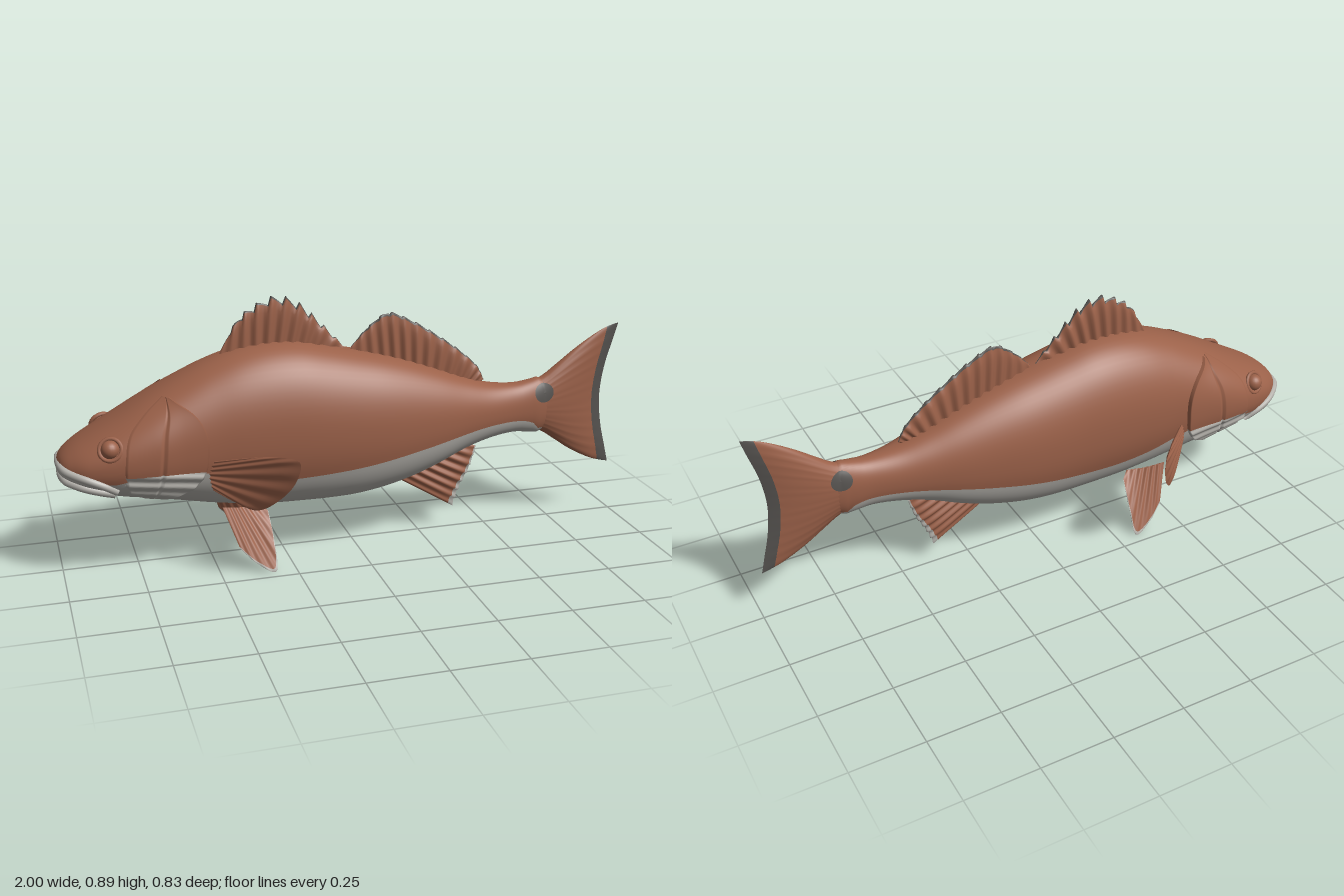
import * as THREE from 'three';

const mat = (name, color) => {
  const m = new THREE.MeshStandardMaterial({ color, side: THREE.DoubleSide });
  m.name = name;
  return m;
};
const V = (x, y, z = 0) => new THREE.Vector3(x, y, z);
const { lerp, clamp } = THREE.MathUtils;

// Smooth lookup of column c in a table sorted by its first column
function look(table, x, c = 1) {
  const n = table.length;
  x = clamp(x, table[0][0], table[n - 1][0]);
  let i = 0;
  while (i < n - 2 && x > table[i + 1][0]) i++;
  const slope = k => {
    const a = table[Math.max(k - 1, 0)], b = table[Math.min(k + 1, n - 1)];
    return (b[c] - a[c]) / (b[0] - a[0]);
  };
  const p = table[i], q = table[i + 1], d = q[0] - p[0], t = (x - p[0]) / d;
  const t2 = t * t, t3 = t2 * t;
  return (2 * t3 - 3 * t2 + 1) * p[c] + (t3 - 2 * t2 + t) * d * slope(i)
    + (3 * t2 - 2 * t3) * q[c] + (t3 - t2) * d * slope(i + 1);
}

// Grid surface from a rule fn(u, v)
function sheet(fn, nu, nv) {
  const pos = [], idx = [];
  for (let i = 0; i <= nu; i++) for (let j = 0; j <= nv; j++) pos.push(...fn(i / nu, j / nv).toArray());
  for (let i = 0; i < nu; i++) for (let j = 0; j < nv; j++) {
    const a = i * (nv + 1) + j, b = a + nv + 1;
    idx.push(a, b, b + 1, a, b + 1, a + 1);
  }
  const g = new THREE.BufferGeometry();
  g.setAttribute('position', new THREE.Float32BufferAttribute(pos, 3));
  g.setIndex(idx);
  g.computeVertexNormals();
  return g;
}

// Body stations: x, top, bottom, half width
const BODY = [
  [-1, .39, .37, .012], [-.985, .417, .338, .075], [-.95, .447, .312, .118], [-.9, .478, .29, .15],
  [-.8, .535, .266, .178], [-.7, .593, .247, .187], [-.6, .645, .226, .184], [-.5, .69, .205, .183],
  [-.4, .722, .19, .186], [-.3, .737, .18, .187], [-.2, .735, .177, .186], [-.1, .715, .176, .182],
  [0, .692, .18, .176], [.1, .668, .195, .166], [.2, .638, .22, .15], [.3, .602, .256, .13],
  [.4, .563, .3, .105], [.5, .532, .33, .08], [.6, .522, .343, .058], [.66, .53, .336, .05],
  [.7, .535, .335, .044], [.75, .5, .38, .028], [.8, .45, .42, .002]];
// Height of the colour change along the flank
const LINE = [
  [-1, .38], [-.95, .375], [-.9, .362], [-.83, .347], [-.75, .367], [-.6, .375], [-.5, .352], [-.4, .322],
  [-.3, .308], [-.2, .307], [0, .322], [.2, .352], [.4, .385], [.5, .396], [.6, .396], [.66, .382], [.7, .35], [.8, .43]];
const E = 0.9;
const section = x => {
  const top = look(BODY, x, 1), bot = look(BODY, x, 2);
  return { mid: (top + bot) / 2, h: (top - bot) / 2, w: look(BODY, x, 3) };
};
const angleAt = (x, y) => {
  const { mid, h } = section(x), q = clamp((y - mid) / h, -1, 1);
  return Math.asin(Math.sign(q) * Math.abs(q) ** (1 / E));
};
const sideZ = (x, y) => section(x).w * Math.max(Math.cos(angleAt(x, y)), 0) ** E;
const bodyPoint = (x, a) => {
  const { mid, h, w } = section(x), s = Math.sin(a), c = Math.cos(a);
  return V(x, mid + h * Math.sign(s) * Math.abs(s) ** E, w * Math.sign(c) * Math.abs(c) ** E);
};

// Tail outline by distance from its root: u, top, bottom
const TAIL = [[0, .515, .35], [.15, .522, .343], [.28, .54, .335], [.4, .575, .305], [.6, .635, .252],
  [.8, .685, .212], [.92, .706, .197], [1, .714, .19]];
const TRAIL = [[-1, .985], [-.8, .972], [-.4, .947], [0, .937], [.4, .95], [.8, .98], [1, .995]];
const tailZ = (u, v) => 0.042 * (1 - u ** 3) * Math.sqrt(Math.max(1 - v * v, 0));

export function createModel() {
  const root = new THREE.Group();
  root.name = 'fish';
  const copper = mat('copper skin', 0x9b6149);
  const pale = mat('pale belly', 0xb4b1ab);
  const dark = mat('dark grey edging', 0x55524f);
  const add = (name, geo, material) => {
    const m = new THREE.Mesh(geo, material);
    m.name = name;
    root.add(m);
    return m;
  };

  // Body, parted along the flank line
  const bodyX = u => -1 + 1.8 * u ** 1.4;
  add('back', sheet((u, v) => {
    const x = bodyX(u), a = angleAt(x, look(LINE, x));
    return bodyPoint(x, lerp(a, Math.PI - a, v));
  }, 110, 40), copper);
  add('belly', sheet((u, v) => {
    const x = bodyX(u), a = angleAt(x, look(LINE, x));
    return bodyPoint(x, lerp(Math.PI - a, 2 * Math.PI + a, v));
  }, 110, 32), pale);

  // Tail fin with a dark trailing band
  const tailPart = (u0, u1, side) => sheet((a, b) => {
    const u = lerp(u0, u1, a), v = -Math.cos(b * Math.PI);
    const top = look(TAIL, u, 1), bot = look(TAIL, u, 2);
    const ray = 1 + 0.06 * Math.cos(v * 40) * u;
    return V(lerp(.6, look(TRAIL, v), u), lerp(bot, top, (v + 1) / 2), side * tailZ(u, v) * ray);
  }, 16, 48);

  // Gill cover: y, front x, rear x
  const GILL = [[.262, -.72, -.67], [.3, -.78, -.59], [.36, -.8, -.543], [.42, -.8, -.53],
    [.5, -.78, -.533], [.56, -.72, -.568], [.605, -.655, -.635]];
  const gill = (y0, y1, side, folds) => sheet((u, v) => {
    const y = lerp(y0, y1, v), x = lerp(look(GILL, y, 1), look(GILL, y, 2), Math.min(u / .96, 1));
    let off = u > .96 ? -.012 : .004 + .013 * u;
    if (u < .03) off = -.003;
    if (u > .42 && u < .47) off -= .006;
    if (folds) off += .004 * Math.sin(y * 170 + u * 5);
    return V(x, y, side * (sideZ(x, y) + off));
  }, 50, 24);

  // Thin ribbed fin between a root curve and a tip curve
  function fin(name, rootPts, tipPts, normal, { thick = .01, ribs = 6, jag = 0, edge = null, edgeAt = .94 }) {
    const a = new THREE.CatmullRomCurve3(rootPts), b = new THREE.CatmullRomCurve3(tipPts);
    const n = normal.clone().normalize();
    const part = (t0, t1, face) => sheet((s, k) => {
      const t = lerp(t0, t1, k), saw = (s * ribs) % 1;
      const th = thick * Math.sqrt(Math.max(1 - t ** 4, 0)) * Math.sin(Math.PI * clamp(s, 0, 1)) ** .4
        * (.7 + .3 * Math.cos(2 * Math.PI * ribs * s));
      return a.getPoint(s).lerp(b.getPoint(s), t * (1 - jag * saw * t)).addScaledVector(n, face * (th || 0));
    }, ribs * 8, 10);
    for (const face of [1, -1]) {
      add(name, part(0, edge ? edgeAt : 1, face), copper);
      if (edge) add(name + 'Edge', part(edgeAt, 1, face), edge);
    }
  }
  const Z = V(0, 0, 1);
  const topRoot = xs => xs.map(x => V(x, look(BODY, x, 1) - .015));
  fin('spinyDorsalFin', topRoot([-.46, -.35, -.25, -.15, -.04]),
    [V(-.44, .73), V(-.385, .825), V(-.33, .868), V(-.26, .893), V(-.19, .873), V(-.13, .82), V(-.07, .755), V(-.015, .695)],
    Z, { thick: .022, ribs: 10, jag: .2, edge: dark, edgeAt: .965 });
  fin('softDorsalFin', topRoot([-.01, .1, .2, .3, .4, .46]),
    [V(0, .7), V(.06, .765), V(.13, .81), V(.21, .78), V(.3, .725), V(.39, .66), V(.46, .595), V(.485, .545)],
    Z, { thick: .02, ribs: 13, jag: .05, edge: dark, edgeAt: .95 });
  fin('analFin', [V(.15, .22), V(.27, .265), V(.4, .32)],
    [V(.38, .08), V(.405, .15), V(.44, .22), V(.465, .3)], Z, { thick: .017, ribs: 7, jag: .03, edge: pale, edgeAt: .92 });

  for (const side of [1, -1]) {
    const P = (x, y, z) => V(x, y, z * side);
    const tag = side > 0 ? 'left' : 'right';
    add('tailFin', tailPart(0, .89, side), copper);
    add('tailFinEdge', tailPart(.89, 1, side), dark);
    add(tag + 'GillCover', gill(.373, .605, side, false), copper);
    add(tag + 'Throat', gill(.262, .373, side, true), pale);

    // Paired fins
    const slant = (x, y) => P(x, y, .42 + (x + .28) * 1.05);
    fin(tag + 'PectoralFin', [slant(-.515, .4), slant(-.52, .35), slant(-.515, .3)],
      [slant(-.41, .44), slant(-.34, .46), slant(-.285, .455), slant(-.295, .39), slant(-.34, .315), slant(-.4, .264), slant(-.47, .28)],
      P(-.72, 0, .7), { thick: .01, ribs: 7 });
    fin(tag + 'PelvicFin', [P(-.48, .22, .13), P(-.42, .205, .11), P(-.35, .2, .085)],
      [P(-.435, .09, .185), P(-.385, .04, .204), P(-.322, .005, .214), P(-.315, .09, .172), P(-.322, .185, .11)],
      P(.25, .45, .85), { thick: .009, ribs: 6, edge: pale, edgeAt: .95 });

    // Eye with a raised socket rim
    const ex = -.835, ey = .462, ez = sideZ(ex, ey);
    const eye = add(tag + 'Eye', new THREE.SphereGeometry(.03, 20, 14), copper);
    eye.position.set(ex, ey, side * (ez - .002));
    const rim = add(tag + 'EyeRim', new THREE.TorusGeometry(.036, .007, 8, 24), copper);
    rim.position.set(ex, ey, side * ez);
    rim.rotation.set(-side * .45, -side * .3, 0);

    // Dark spot at the tail root
    add(tag + 'TailSpot', sheet((r, a) => {
      const x = .7 + .036 * r * Math.cos(a * 2 * Math.PI), y = .488 + .034 * r * Math.sin(a * 2 * Math.PI);
      const u = (x - .6) / .345, top = look(TAIL, u, 1), bot = look(TAIL, u, 2);
      const z = Math.max(sideZ(x, y), tailZ(u, (2 * y - top - bot) / (top - bot)) * 1.05);
      return V(x, y, side * (z + .004));
    }, 6, 28), dark);
  }

  // Lips wrapping round the snout
  const lip = (name, pts, r) => {
    const half = pts.map(([x, y]) => V(x, y, sideZ(x, y)));
    const other = half.slice(0, -1).reverse().map(p => V(p.x, p.y, -p.z));
    half[half.length - 1].z = 0;
    add(name, new THREE.TubeGeometry(new THREE.CatmullRomCurve3([...half, ...other]), 60, r, 10), pale);
  };
  lip('upperLip', [[-.82, .318], [-.86, .343], [-.91, .364], [-.955, .377], [-.98, .385], [-.99, .388]], .013);
  lip('lowerLip', [[-.825, .304], [-.87, .316], [-.92, .33], [-.955, .34], [-.975, .346], [-.985, .35]], .014);

  return root;
}
